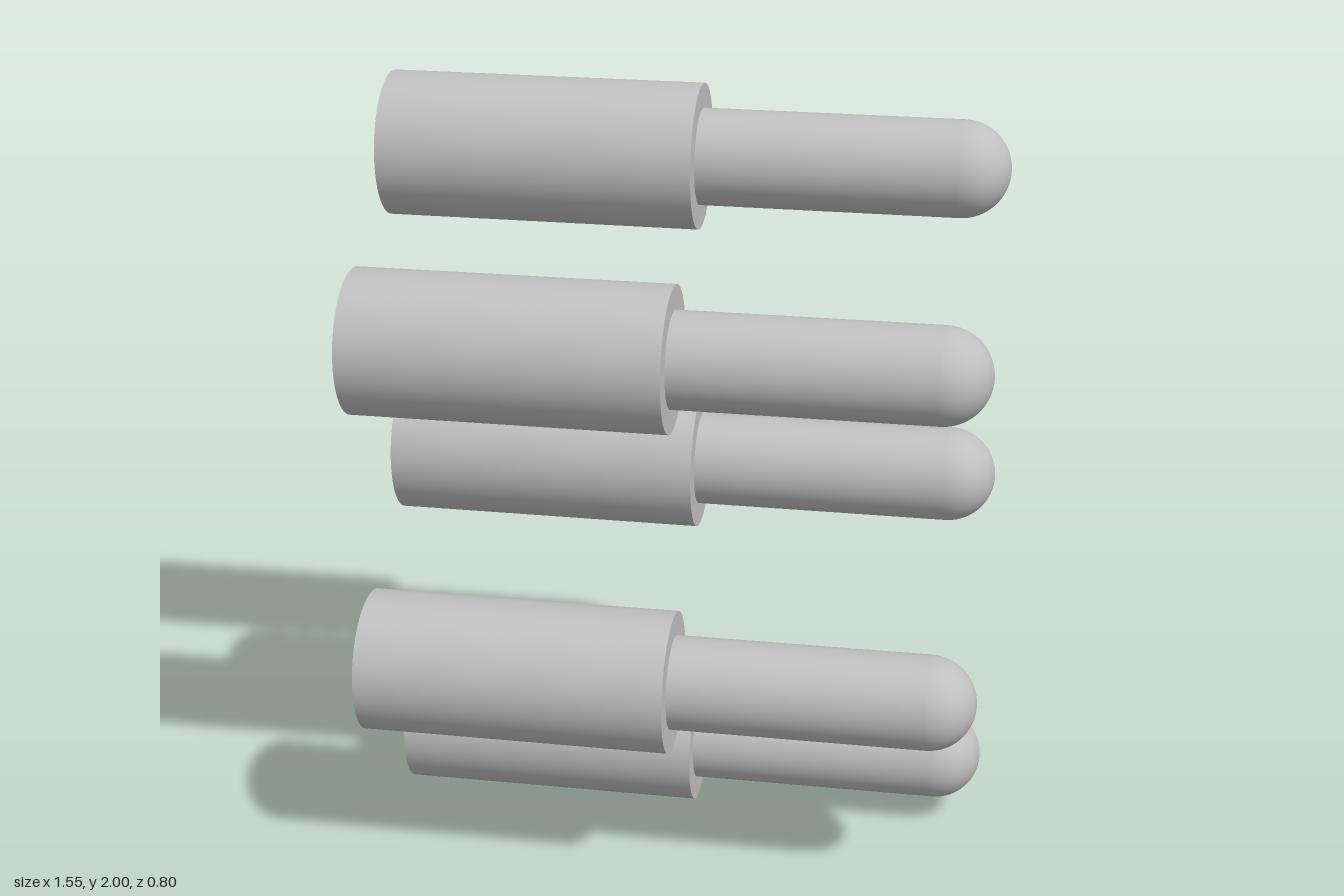
import * as THREE from 'three';

const SEGMENTS = 64;
const BARREL_R = 0.181, PIN_R = 0.12;
const BACK = -0.777, STEP = 0.012, TIP = 0.777;

// Surface of revolution about the x axis from [radius, x] points
function turned(name, points, material) {
  const geometry = new THREE.LatheGeometry(points.map(([r, x]) => new THREE.Vector2(r, x)), SEGMENTS);
  geometry.rotateZ(-Math.PI / 2);
  const mesh = new THREE.Mesh(geometry, material);
  mesh.name = name;
  return mesh;
}

export function createModel() {
  const model = new THREE.Group();
  model.name = 'pinSet';
  const metal = new THREE.MeshStandardMaterial({ color: 0xc0c0c0, side: THREE.DoubleSide });
  metal.name = 'light grey';

  // Rounded tip: quarter arc from the pin wall to the axis
  const dome = [];
  for (let i = 0; i <= 16; i++) {
    const a = (i / 16) * Math.PI / 2;
    dome.push([i === 16 ? 0 : PIN_R * Math.cos(a), TIP - PIN_R + PIN_R * Math.sin(a)]);
  }

  // Five staggered pins, as [y, z] centres
  const centres = [[1.819, -0.207], [1.44, 0.219], [1.003, -0.216], [0.567, 0.219], [0.184, -0.207]];
  centres.forEach(([y, z], i) => {
    const pin = new THREE.Group();
    pin.name = `pin${i + 1}`;
    pin.add(
      turned('openBarrel', [[BARREL_R, BACK], [BARREL_R, STEP]], metal),
      turned('shoulder', [[BARREL_R, STEP], [PIN_R, STEP]], metal),
      turned('shaft', [[PIN_R, STEP], [PIN_R, TIP - PIN_R]], metal),
      turned('roundedTip', dome, metal),
    );
    pin.position.set(0, y, z);
    model.add(pin);
  });
  return model;
}
